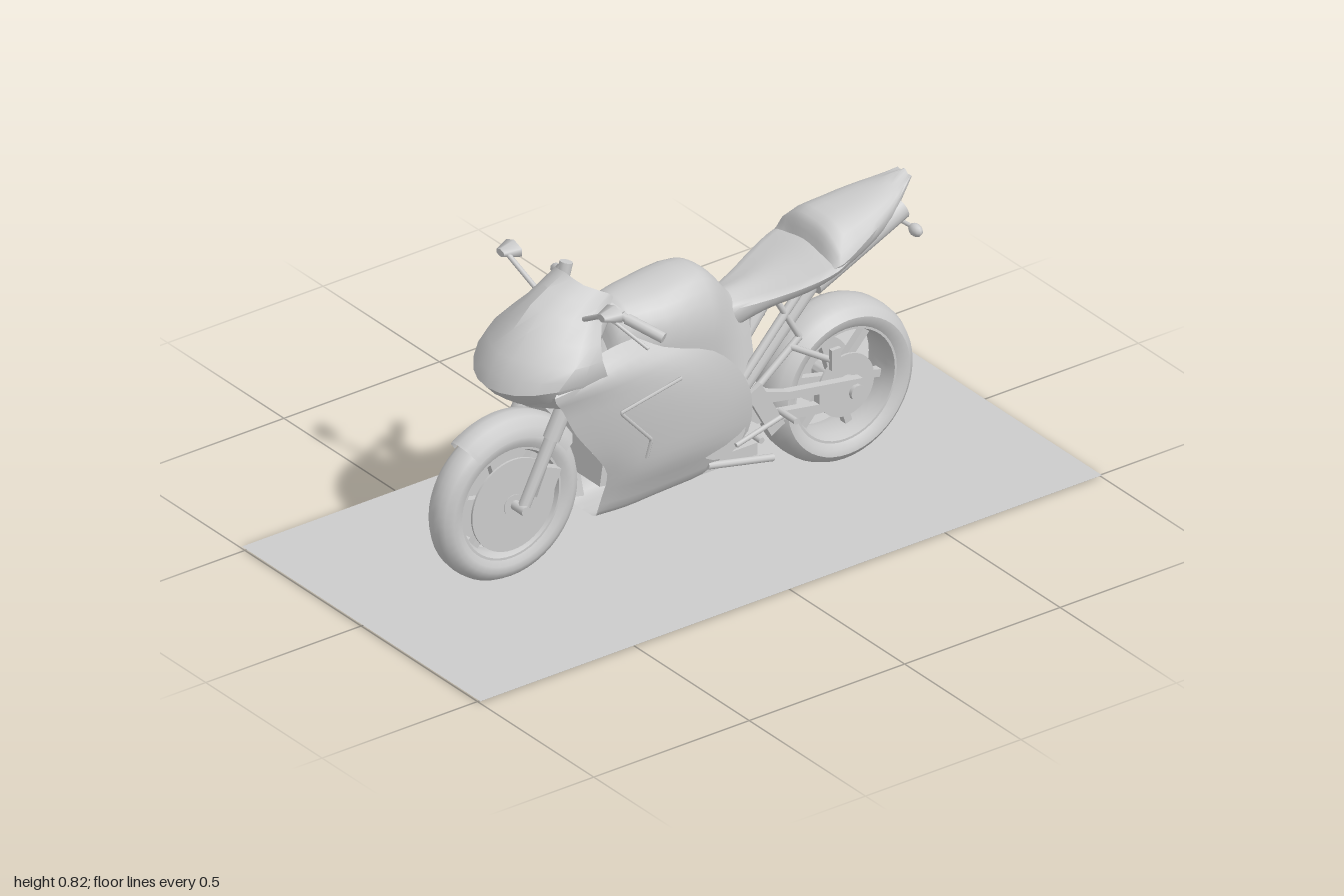
import * as THREE from 'three';
import { toCreasedNormals } from 'three/addons/utils/BufferGeometryUtils.js';

const material = new THREE.MeshStandardMaterial({ color: 0xcccccc, side: THREE.DoubleSide });
const V = (p) => new THREE.Vector3(...p);

export function createModel() {
  const model = new THREE.Group();
  const add = (name, geometry, pos = [0, 0, 0], rot = [0, 0, 0], parent = model) => {
    const m = new THREE.Mesh(geometry, material);
    m.name = name;
    m.position.set(...pos);
    m.rotation.set(...rot);
    parent.add(m);
    return m;
  };
  const box = (name, size, pos, rot) => add(name, new THREE.BoxGeometry(...size), pos, rot);

  // Round bar between two points
  const bar = (name, a, b, r1, r2 = r1, sides = 10) => {
    const A = V(a), B = V(b), d = B.clone().sub(A);
    const m = add(name, new THREE.CylinderGeometry(r2, r1, d.length(), sides));
    m.position.copy(A).addScaledVector(d, 0.5);
    m.quaternion.setFromUnitVectors(new THREE.Vector3(0, 1, 0), d.normalize());
    return m;
  };
  const sides = (fn) => [-1, 1].forEach(fn);

  // Resample a line of points along a smooth curve, keeping the given points
  const smooth = (pts, n) => {
    const curve = new THREE.CatmullRomCurve3(pts, false, 'centripetal');
    return Array.from({ length: (pts.length - 1) * n + 1 }, (_, i) => curve.getPoint(i / ((pts.length - 1) * n)));
  };

  // Skin through rows of points; mirrored rows run across the centre line
  const skin = (name, rows, { mirror = true, n = 3, crease = 0.7 } = {}) => {
    let grid = rows.map((row) => {
      const half = row.map(V);
      const full = mirror ? [...half.slice(1).reverse().map((p) => new THREE.Vector3(-p.x, p.y, p.z)), ...half] : half;
      return smooth(full, n);
    });
    const columns = grid[0].map((_, j) => smooth(grid.map((r) => r[j]), n));
    grid = columns[0].map((_, i) => columns.map((c) => c[i]));
    const w = grid[0].length, index = [];
    for (let i = 0; i < grid.length - 1; i++)
      for (let j = 0; j < w - 1; j++) {
        const a = i * w + j, b = a + w;
        index.push(a, b, a + 1, a + 1, b, b + 1);
      }
    const g = new THREE.BufferGeometry().setFromPoints(grid.flat());
    g.setIndex(index);
    g.computeVertexNormals();
    return add(name, toCreasedNormals(g, crease));
  };

  // Lathe around the x axis; angles run from +z towards +y
  const ring = (name, profile, pos, parent, start = 0, length = Math.PI * 2) => {
    const pts = profile.map(([x, r]) => new THREE.Vector2(r, x));
    const g = new THREE.LatheGeometry(pts, 48, start, length).rotateZ(Math.PI / 2);
    return add(name, toCreasedNormals(g, 0.8), pos, [0, 0, 0], parent);
  };

  const wheel = (name, R, half, z, discR, discX) => {
    const g = new THREE.Group();
    g.name = name;
    g.position.set(0, R, z);
    model.add(g);
    ring('tyre', [[-half * 0.75, R - 0.07], [-half * 0.97, R - 0.05], [-half, R - 0.033], [-half * 0.75, R - 0.012],
      [-half * 0.4, R - 0.002], [0, R], [half * 0.4, R - 0.002], [half * 0.75, R - 0.012], [half, R - 0.033],
      [half * 0.97, R - 0.05], [half * 0.75, R - 0.07]], [0, 0, 0], g);
    ring('rim', [[-half * 0.8, R - 0.058], [-half * 0.8, R - 0.072], [-half * 0.4, R - 0.08], [half * 0.4, R - 0.08],
      [half * 0.8, R - 0.072], [half * 0.8, R - 0.058]], [0, 0, 0], g);
    ring('hub', [[-half, 0], [-half, 0.03], [half, 0.03], [half, 0]], [0, 0, 0], g);
    for (let i = 0; i < 6; i++) {
      const a = (i * Math.PI) / 3 + 0.3, mid = (R - 0.06) / 2;
      add('spoke', new THREE.BoxGeometry(0.022, R - 0.08, 0.022),
        [0, Math.cos(a) * mid, Math.sin(a) * mid], [a, 0, 0], g);
    }
    discX.forEach((x) => ring('brakeDisc', [[x - 0.003, 0], [x - 0.003, discR], [x + 0.003, discR], [x + 0.003, 0]], [0, 0, 0], g));
  };
  wheel('frontWheel', 0.225, 0.047, 0.544, 0.132, [-0.042, 0.042]);
  wheel('rearWheel', 0.23, 0.07, -0.517, 0.09, [-0.055, 0.055]);

  // Front mudguard
  ring('frontMudguard', [[-0.056, 0.195], [-0.052, 0.222], [-0.03, 0.243], [0, 0.25], [0.03, 0.243], [0.052, 0.222], [0.056, 0.195]],
    [0, 0.225, 0.544], model, 0.95, 1.6);

  // Forks, clamps and handlebars
  sides((s) => {
    bar('forkLower', [s * 0.075, 0.225, 0.535], [s * 0.075, 0.42, 0.435], 0.016, 0.018);
    bar('forkUpper', [s * 0.075, 0.40, 0.445], [s * 0.075, 0.735, 0.27], 0.023);
    box('caliper', [0.03, 0.085, 0.05], [s * 0.065, 0.275, 0.455], [-0.4, 0, 0]);
    bar('handlebar', [s * 0.07, 0.745, 0.28], [s * 0.14, 0.718, 0.25], 0.011);
    bar('grip', [s * 0.14, 0.718, 0.25], [s * 0.232, 0.685, 0.2], 0.015);
    bar('lever', [s * 0.11, 0.725, 0.29], [s * 0.213, 0.656, 0.235], 0.005);
    box('leverMount', [0.04, 0.03, 0.035], [s * 0.115, 0.73, 0.275], [0, s * 0.4, -s * 0.35]);
    bar('mirrorStalk', [s * 0.1, 0.735, 0.36], [s * 0.2, 0.795, 0.375], 0.007);
    const shell = add('mirror', new THREE.CylinderGeometry(0.018, 0.038, 0.045, 6, 1), [s * 0.217, 0.8, 0.368], [Math.PI / 2, 0, 0]);
    shell.scale.set(1, 1, 0.62);
  });
  bar('frontAxle', [-0.095, 0.225, 0.54], [0.095, 0.225, 0.54], 0.014);
  bar('fluidReservoir', [-0.1, 0.75, 0.275], [-0.1, 0.785, 0.265], 0.018);
  box('topClamp', [0.2, 0.02, 0.06], [0, 0.72, 0.28], [-0.45, 0, 0]);
  box('lowerClamp', [0.19, 0.035, 0.06], [0, 0.545, 0.37], [-0.45, 0, 0]);
  bar('steeringHead', [0, 0.53, 0.35], [0, 0.73, 0.25], 0.03);
  box('instruments', [0.13, 0.05, 0.03], [0, 0.735, 0.36], [-0.7, 0, 0]);

  // Nose cowl and windscreen
  skin('noseCowl', [
    [[0, 0.825, 0.345], [0.06, 0.808, 0.33], [0.1, 0.785, 0.28], [0.102, 0.77, 0.265]],
    [[0, 0.765, 0.455], [0.065, 0.75, 0.42], [0.118, 0.725, 0.36], [0.125, 0.715, 0.32]],
    [[0, 0.655, 0.555], [0.09, 0.655, 0.525], [0.172, 0.645, 0.44], [0.17, 0.64, 0.35]],
    [[0, 0.57, 0.597], [0.09, 0.575, 0.572], [0.166, 0.592, 0.49], [0.165, 0.585, 0.33]],
    [[0, 0.515, 0.53], [0.08, 0.525, 0.52], [0.155, 0.56, 0.47], [0.155, 0.56, 0.33]],
  ], { n: 2, crease: 0.5 });
  box('airIntake', [0.12, 0.04, 0.1], [0, 0.53, 0.45]);

  // Side fairings, headlights, vents
  sides((s) => {
    const rows = [
      [[0.42, 0.61, 0.12], [0.34, 0.625, 0.12], [0.26, 0.63, 0.11], [0.19, 0.625, 0.1]],
      [[0.5, 0.575, 0.165], [0.36, 0.59, 0.167], [0.25, 0.6, 0.15], [0.12, 0.585, 0.125]],
      [[0.465, 0.52, 0.153], [0.3, 0.52, 0.165], [0.12, 0.52, 0.157], [-0.04, 0.52, 0.125]],
      [[0.415, 0.43, 0.142], [0.25, 0.43, 0.157], [0.05, 0.43, 0.153], [-0.13, 0.43, 0.12]],
      [[0.345, 0.34, 0.13], [0.22, 0.34, 0.145], [0.04, 0.34, 0.145], [-0.17, 0.34, 0.115]],
      [[0.292, 0.26, 0.112], [0.2, 0.25, 0.128], [0.04, 0.25, 0.13], [-0.17, 0.23, 0.1]],
      [[0.29, 0.18, 0.085], [0.2, 0.18, 0.1], [0.05, 0.18, 0.1], [-0.11, 0.18, 0.09]],
      [[0.29, 0.115, 0.06], [0.2, 0.115, 0.067], [0.1, 0.12, 0.067], [-0.02, 0.12, 0.06]],
      [[0.29, 0.107, 0], [0.2, 0.108, 0], [0.1, 0.11, 0], [-0.02, 0.115, 0]],
    ].map((r) => r.map(([z, y, x]) => [s * x, y, z]));
    skin('sideFairing', rows, { mirror: false });
    // Inner return behind the leading edge
    skin('fairingInnerEdge', rows.slice(1, 8).map((r) => {
      const [x, y, z] = r[0];
      return [[x, y, z], [x * 0.72, y, z - 0.04]];
    }), { mirror: false, n: 2 });
    skin('headlight', [
      [[s * 0.05, 0.527, 0.535], [s * 0.165, 0.572, 0.485]],
      [[s * 0.06, 0.51, 0.51], [s * 0.15, 0.525, 0.46]],
    ], { mirror: false, n: 1 });
    const vent = new THREE.CurvePath();
    const pts = [[0.162, 0.5, 0.09], [0.167, 0.465, 0.29], [0.153, 0.345, 0.18], [0.146, 0.29, 0.19]].map(([x, y, z]) => V([s * x, y, z]));
    for (let i = 0; i < 3; i++) vent.add(new THREE.LineCurve3(pts[i], pts[i + 1]));
    add('ventEdge', new THREE.TubeGeometry(vent, 36, 0.005, 5));
  });
  box('radiator', [0.2, 0.3, 0.03], [0, 0.37, 0.27], [-0.15, 0, 0]);
  box('engine', [0.17, 0.28, 0.28], [0, 0.3, 0.02]);
  bar('engineCase', [-0.105, 0.26, -0.08], [0.105, 0.26, -0.08], 0.08, 0.08, 20);

  // Tank with the frame below it: z, top, width, shoulder height, bottom, bottom width
  skin('tank', [
    [0.25, 0.63, 0.06, 0.58, 0.5, 0.06], [0.225, 0.697, 0.085, 0.63, 0.5, 0.08], [0.1, 0.715, 0.12, 0.63, 0.46, 0.105],
    [-0.05, 0.722, 0.115, 0.61, 0.42, 0.105], [-0.1, 0.69, 0.095, 0.58, 0.4, 0.1], [-0.175, 0.6, 0.055, 0.53, 0.36, 0.09],
    [-0.22, 0.575, 0.04, 0.5, 0.4, 0.06],
  ].map(([z, top, w, mid, low, lw]) => [[0, top, z], [w * 0.6, top - 0.018, z], [w, mid, z], [lw, low, z]]));

  // Seat and tail: z, top, top width, side height, side width, bottom, bottom width
  const tailRow = ([z, top, tw, mid, w, low, lw]) => [[0, top, z], [tw, top - 0.01, z], [w, mid, z], [lw, low, z], [0, low, z]];
  skin('seat', [
    [-0.13, 0.6, 0.03, 0.57, 0.05, 0.5, 0.04], [-0.25, 0.608, 0.05, 0.585, 0.09, 0.54, 0.06],
    [-0.36, 0.63, 0.09, 0.61, 0.128, 0.56, 0.08], [-0.43, 0.65, 0.1, 0.63, 0.14, 0.575, 0.08], [-0.48, 0.66, 0.09, 0.645, 0.13, 0.59, 0.08],
  ].map(tailRow));
  skin('tail', [
    [-0.425, 0.665, 0.065, 0.635, 0.13, 0.58, 0.08], [-0.45, 0.72, 0.07, 0.645, 0.138, 0.585, 0.08], [-0.55, 0.738, 0.065, 0.68, 0.115, 0.615, 0.075],
    [-0.65, 0.752, 0.05, 0.715, 0.08, 0.66, 0.06], [-0.748, 0.767, 0.015, 0.758, 0.03, 0.74, 0.02],
  ].map(tailRow));

  // Silencers under the tail, number plate bracket and indicators
  sides((s) => {
    bar('silencer', [s * 0.065, 0.575, -0.4], [s * 0.045, 0.69, -0.7], 0.036, 0.034, 16);
    bar('exhaustPipe', [s * 0.045, 0.33, -0.2], [s * 0.062, 0.58, -0.42], 0.018);
    bar('indicatorStem', [0, 0.635, -0.715], [s * 0.07, 0.635, -0.72], 0.006);
    const lamp = add('indicator', new THREE.SphereGeometry(0.02, 10, 8), [s * 0.085, 0.632, -0.72]);
    lamp.scale.set(1.2, 0.9, 0.8);
  });
  bar('plateBracket', [0, 0.72, -0.68], [0, 0.625, -0.725], 0.012);

  // Swingarm, subframe, foot pegs
  const arm = new THREE.Shape([[0.12, 0.3], [0.2, 0.335], [0.3, 0.3], [0.54, 0.262], [0.56, 0.225], [0.53, 0.195], [0.38, 0.205], [0.2, 0.24]]
    .map(([z, y]) => new THREE.Vector2(z, y)));
  arm.holes.push(new THREE.Path([[0.23, 0.29], [0.25, 0.255], [0.4, 0.23], [0.4, 0.26]].map(([z, y]) => new THREE.Vector2(z, y))));
  sides((s) => {
    add('swingarm', new THREE.ExtrudeGeometry(arm, { depth: 0.024, bevelEnabled: false }), [s * 0.087 - 0.012, 0, 0], [0, Math.PI / 2, 0]);
    bar('subframeStrut', [s * 0.08, 0.38, -0.17], [s * 0.07, 0.57, -0.36], 0.012);
    bar('subframeBrace', [s * 0.085, 0.33, -0.2], [s * 0.08, 0.44, -0.35], 0.01);
    bar('subframeLink', [s * 0.08, 0.44, -0.35], [s * 0.07, 0.57, -0.28], 0.009);
    bar('passengerPeg', [s * 0.08, 0.42, -0.32], [s * 0.185, 0.405, -0.38], 0.009);
    box('passengerPegPlate', [0.012, 0.06, 0.03], [s * 0.187, 0.41, -0.385]);
    box('pegBracket', [0.014, 0.16, 0.05], [s * 0.105, 0.28, -0.22], [0.5, 0, 0]);
    bar('riderPeg', [s * 0.1, 0.257, -0.27], [s * 0.175, 0.257, -0.27], 0.009);
    bar('footLever', [s * 0.115, 0.21, -0.12], [s * 0.115, 0.25, -0.28], 0.007);
    bar('footLeverTip', [s * 0.1, 0.208, -0.19], [s * 0.132, 0.208, -0.19], 0.009);
  });
  bar('rearAxle', [-0.11, 0.23, -0.517], [0.11, 0.23, -0.517], 0.022);
  bar('swingarmPivot', [-0.1, 0.29, -0.16], [0.1, 0.29, -0.16], 0.025);
  box('swingarmBridge', [0.16, 0.05, 0.06], [0, 0.29, -0.22]);
  bar('shockAbsorber', [0, 0.24, -0.2], [0, 0.52, -0.22], 0.028);
  bar('sideStand', [0.085, 0.16, -0.05], [0.1, 0.125, -0.25], 0.01);
  box('bellyPan', [0.12, 0.035, 0.22], [0, 0.14, -0.12]);

  // Flat display sheet, pierced by the tyres
  add('displaySheet', new THREE.PlaneGeometry(1.025, 2), [0, 0.006, 0], [-Math.PI / 2, 0, 0]);
  return model;
}
